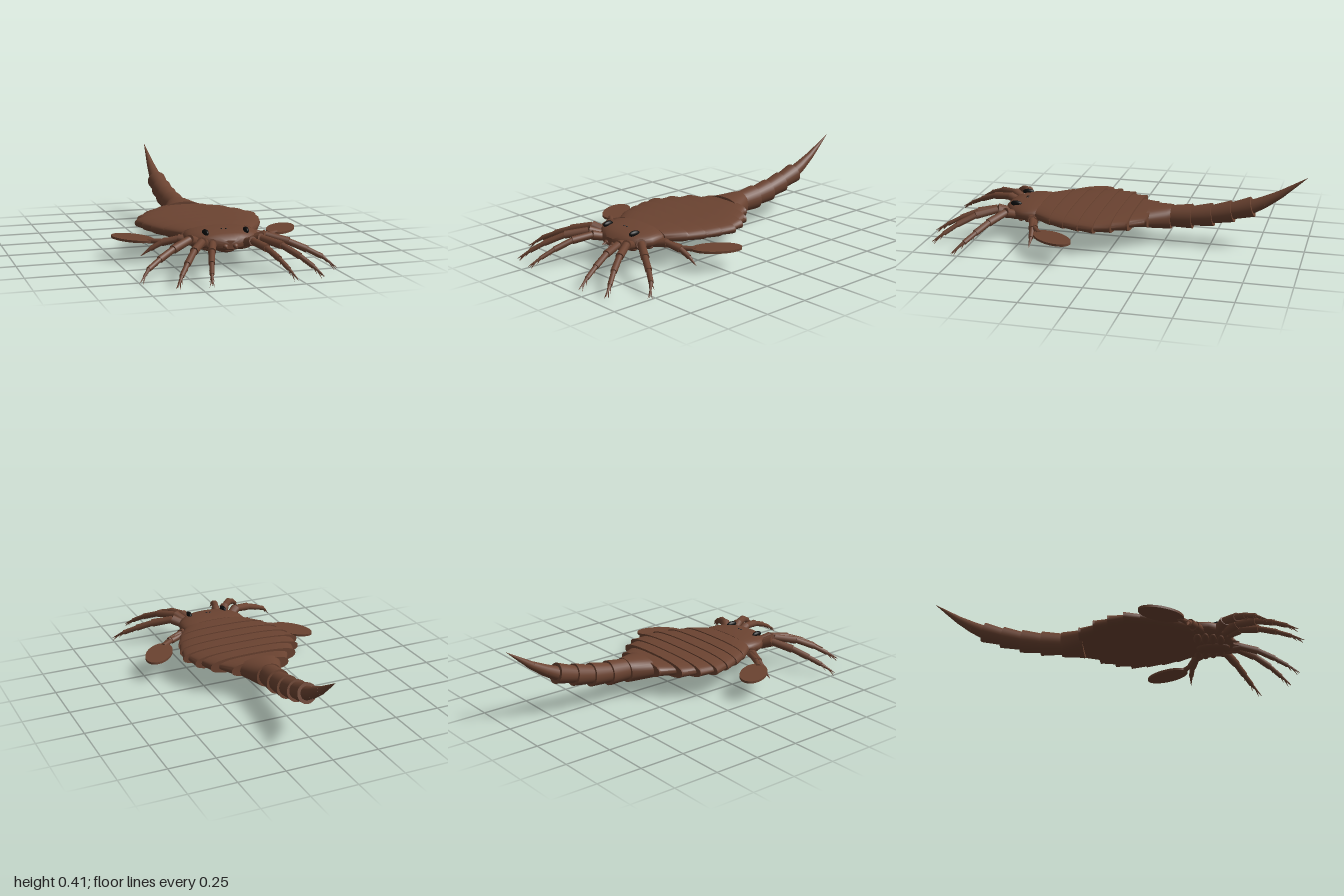
import * as THREE from 'three';
import { toCreasedNormals } from 'three/addons/utils/BufferGeometryUtils.js';

const shell = new THREE.MeshStandardMaterial({ color: 0x6b4331 });
shell.name = 'brown shell';
const black = new THREE.MeshStandardMaterial({ color: 0x0b0b0b });
black.name = 'black eyes';

const V = (p) => new THREE.Vector3(...p);

function add(parent, name, geometry, material = shell) {
  const mesh = new THREE.Mesh(geometry, material);
  mesh.name = name;
  parent.add(mesh);
  return mesh;
}

// Closed skin over rounded sections; stations [z, centreY, halfWidth, halfHeight] run towards +z
function loft(stations, power = 2.8, n = 40) {
  const pos = [], idx = [];
  const bend = (v) => Math.sign(v) * Math.abs(v) ** (2 / power);
  for (const [z, y, w, h] of stations) {
    for (let j = 0; j < n; j++) {
      const t = (j / n) * Math.PI * 2;
      pos.push(w * bend(Math.cos(t)), y + h * bend(Math.sin(t)), z);
    }
  }
  const last = stations.length - 1, back = pos.length / 3, front = back + 1;
  pos.push(0, stations[0][1], stations[0][0], 0, stations[last][1], stations[last][0]);
  for (let j = 0; j < n; j++) {
    const k = (j + 1) % n;
    for (let i = 0; i < last; i++) {
      const a = i * n + j, b = i * n + k;
      idx.push(a, b, a + n, b, b + n, a + n);
    }
    idx.push(back, k, j, front, last * n + j, last * n + k);
  }
  const g = new THREE.BufferGeometry();
  g.setAttribute('position', new THREE.Float32BufferAttribute(pos, 3));
  g.setIndex(idx);
  return toCreasedNormals(g, 0.7);
}

// Tapered tube between two points
function limb(parent, name, a, b, ra, rb, sides = 14) {
  const from = V(a), dir = V(b).sub(from), length = dir.length();
  const mesh = add(parent, name, new THREE.CylinderGeometry(rb, ra, length, sides));
  mesh.position.copy(from).addScaledVector(dir, 0.5);
  mesh.quaternion.setFromUnitVectors(new THREE.Vector3(0, 1, 0), dir.normalize());
  return mesh;
}

function ball(parent, name, p, s, material = shell) {
  const mesh = add(parent, name, new THREE.SphereGeometry(1, 20, 12), material);
  mesh.position.set(...p);
  mesh.scale.set(...s);
  return mesh;
}

// Jointed leg: each segment flares towards its far joint, with spines near the end
function leg(parent, name, points, radii, spines) {
  const g = new THREE.Group();
  g.name = name;
  parent.add(g);
  const last = points.length - 2;
  for (let i = 0; i <= last; i++) {
    const a = points[i], b = points[i + 1];
    limb(g, 'legSegment', a, b, radii[i] * 0.85, i === last ? 0.001 : radii[i + 1] * 1.12, 10);
    if (spines && i >= last - 2) {
      const dir = V(b).sub(V(a)).normalize();
      for (const s of [-1, 1]) {
        const tip = V(b).addScaledVector(dir, i === last ? -0.01 : 0.03);
        tip.add(new THREE.Vector3(dir.z * s * 0.013, -0.016, -dir.x * s * 0.013));
        const base = i === last ? V(b).addScaledVector(dir, -0.05) : V(b);
        limb(g, 'legSpine', base.toArray(), tip.toArray(), 0.005, 0.0005, 6);
      }
    }
  }
  return g;
}

export function createModel() {
  const model = new THREE.Group();
  model.name = 'seaScorpion';

  // Overlapping body plates: [back z, back half width, front half width]
  const plates = [
    [-0.185, 0.165, 0.21], [-0.1, 0.25, 0.275], [-0.02, 0.305, 0.312], [0.065, 0.34, 0.308],
    [0.15, 0.325, 0.285], [0.235, 0.3, 0.25], [0.32, 0.26, 0.19],
  ];
  plates.forEach(([z, backW, frontW], i) => {
    const h = i === 0 ? 0.038 : 0.043;
    add(model, 'bodyPlate', loft([
      [z, 0.141, backW, h + 0.002], [z + 0.012, 0.141, backW - 0.004, h + 0.002],
      [z + 0.1, 0.14, frontW, h - 0.004],
    ], 2.7));
  });

  // Head shield
  add(model, 'headShield', loft([
    [0.415, 0.136, 0.18, 0.046], [0.44, 0.136, 0.19, 0.048], [0.5, 0.135, 0.19, 0.048],
    [0.55, 0.133, 0.167, 0.046], [0.585, 0.13, 0.132, 0.042], [0.612, 0.126, 0.092, 0.034],
    [0.628, 0.122, 0.05, 0.022],
  ], 2.5));

  // Tail: broad base, ringed segments, curved spike
  add(model, 'tailBase', loft([
    [-0.29, 0.136, 0.07, 0.064], [-0.27, 0.136, 0.08, 0.064], [-0.17, 0.136, 0.125, 0.058],
  ], 2.2));
  const tail = [[-0.28, 0.138], [-0.4, 0.147], [-0.51, 0.165], [-0.615, 0.192], [-0.72, 0.226]];
  for (let i = 0; i < 4; i++) {
    const [z0, y0] = tail[i], [z1, y1] = tail[i + 1];
    const r = 0.066 - i * 0.004;
    limb(model, 'tailSegment', [0, y0, z0 + 0.01], [0, y1, z1], r - 0.01, r, 28);
  }
  const spike = new THREE.Group();
  spike.name = 'tailSpike';
  model.add(spike);
  const spikePath = [[-0.7, 0.218, 0.038], [-0.78, 0.257, 0.031], [-0.86, 0.304, 0.021],
    [-0.93, 0.354, 0.011], [-1, 0.405, 0.0005]];
  for (let i = 0; i < 4; i++) {
    const [z0, y0, r0] = spikePath[i], [z1, y1, r1] = spikePath[i + 1];
    limb(spike, 'spikeSection', [0, y0, z0], [0, y1, z1], r0, r1, 20);
  }

  // Mouth plate and underside
  ball(model, 'mouthPlate', [0, 0.09, 0.52], [0.055, 0.022, 0.09]);

  for (const s of [1, -1]) {
    const side = s > 0 ? 'left' : 'right';
    const m = (p) => [p[0] * s, p[1], p[2]];

    // Eyes
    const eye = ball(model, side + 'Eye', m([0.106, 0.175, 0.553]), [0.013, 0.016, 0.032], black);
    eye.rotation.y = -s * 0.06;
    ball(model, side + 'SmallEye', m([0.011, 0.181, 0.522]), [0.005, 0.004, 0.006], black);

    // Mouth feelers
    ball(model, side + 'FeelerBase', m([0.026, 0.115, 0.615]), [0.017, 0.014, 0.025]);
    limb(model, side + 'Feeler', m([0.026, 0.113, 0.62]), m([0.024, 0.108, 0.66]), 0.012, 0.001, 8);

    // Hip lobes below the head
    [[0.07, 0.56], [0.09, 0.52], [0.1, 0.48], [0.1, 0.44]].forEach(([x, z]) =>
      ball(model, side + 'Hip', m([x, 0.098, z]), [0.06, 0.017, 0.022]));

    // Walking legs
    leg(model, side + 'FrontLeg', [[0.07, 0.112, 0.56], [0.105, 0.14, 0.66], [0.14, 0.125, 0.76],
      [0.17, 0.09, 0.85], [0.192, 0.055, 0.92], [0.212, 0.02, 0.985]].map(m),
    [0.024, 0.022, 0.018, 0.014, 0.01, 0.007], true);
    leg(model, side + 'SecondLeg', [[0.1, 0.112, 0.55], [0.155, 0.148, 0.645], [0.225, 0.13, 0.745],
      [0.285, 0.09, 0.83], [0.33, 0.05, 0.89], [0.366, 0.012, 0.945]].map(m),
    [0.025, 0.023, 0.019, 0.015, 0.011, 0.007], true);
    leg(model, side + 'ThirdLeg', [[0.12, 0.115, 0.53], [0.2, 0.15, 0.585], [0.3, 0.122, 0.645],
      [0.38, 0.088, 0.69], [0.445, 0.055, 0.73], [0.5, 0.008, 0.785]].map(m),
    [0.026, 0.024, 0.02, 0.016, 0.012, 0.008], true);
    leg(model, side + 'HindLeg', [[0.13, 0.115, 0.48], [0.21, 0.125, 0.43], [0.29, 0.105, 0.405],
      [0.345, 0.075, 0.395], [0.395, 0.04, 0.392]].map(m),
    [0.024, 0.021, 0.017, 0.012, 0.008], false);

    // Swimming limb with flat oval paddle
    const arm = [[0.13, 0.12, 0.46], [0.21, 0.118, 0.42], [0.28, 0.108, 0.395], [0.345, 0.106, 0.35]].map(m);
    for (let i = 0; i < 3; i++) {
      limb(model, side + 'PaddleArm', arm[i], arm[i + 1], 0.021 - i * 0.004, 0.022 - i * 0.004, 12);
    }
    const paddle = add(model, side + 'Paddle', new THREE.CylinderGeometry(1, 1, 0.012, 40));
    paddle.scale.set(0.13, 1, 0.07);
    paddle.position.set(s * 0.404, 0.106, 0.262);
    paddle.rotation.y = s > 0 ? 0.96 : Math.PI - 0.96;
  }
  return model;
}
